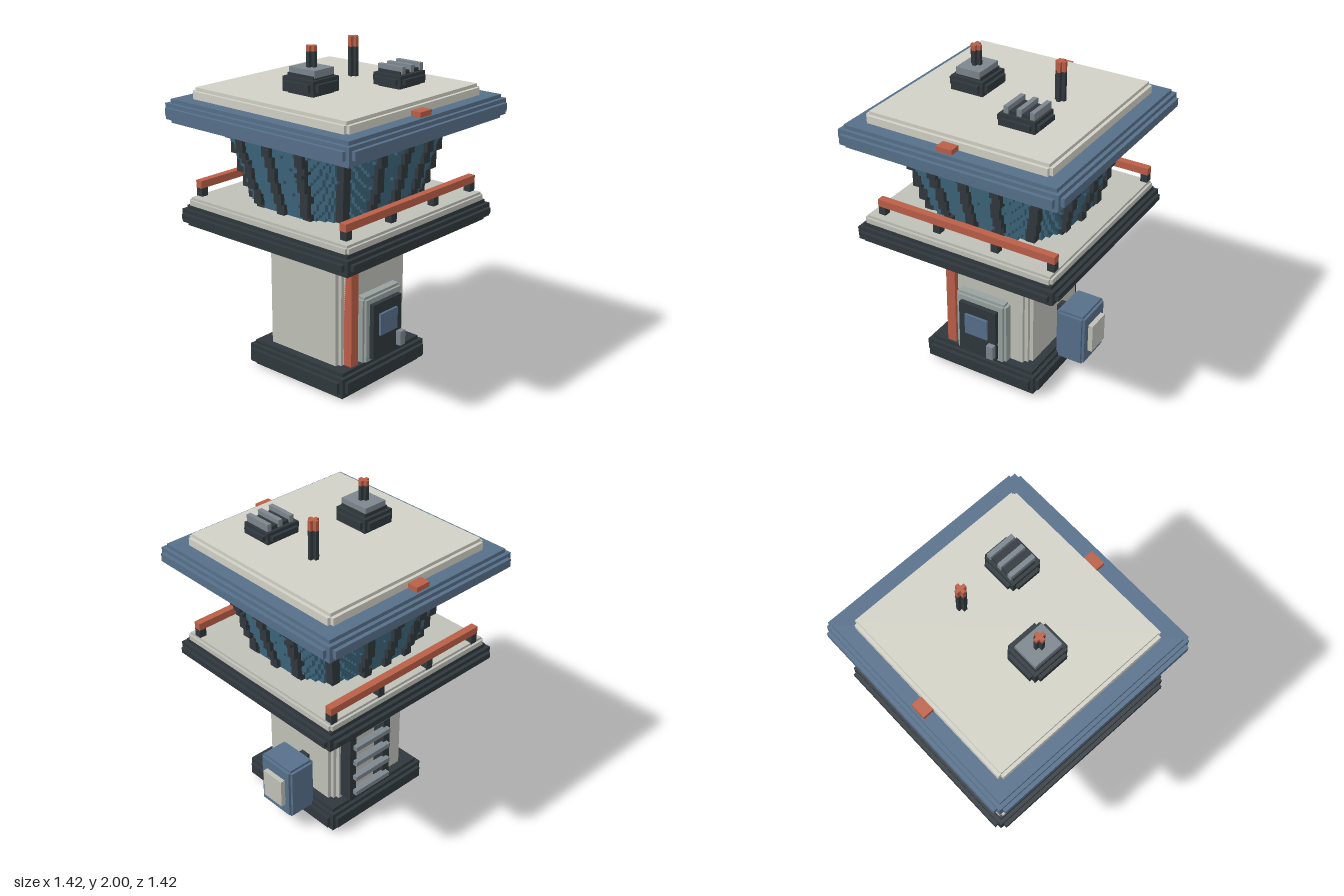
import * as THREE from 'three';
import { mergeGeometries } from 'three/addons/utils/BufferGeometryUtils.js';

const G = 0.0225; // grid step of the blocky surfaces
const mat = (color) => new THREE.MeshStandardMaterial({ color, flatShading: true });
const M = {
  dark: mat(0x30383d), blue: mat(0x56708a), glass: mat(0x3a6378), cream: mat(0xd2d1c6),
  wall: mat(0xbfc1b8), orange: mat(0xbb5f47), grey: mat(0x7d868e), frame: mat(0x98a2a0),
};

// Insets (in grid steps) of the boxes whose union has stepped edges
const STEPS = {
  none: [[0, 0, 0]],
  one: [[0, 1, 1], [1, 0, 1], [1, 1, 0]],
  two: [[0, 2, 2], [2, 0, 2], [2, 2, 0], [1, 1, 1]],
  column: [[0, 0, 2], [1, 0, 1], [2, 0, 0]],
  post: [[0, 0, 1], [1, 0, 0]],
};

function blockGeometry([x0, x1], [y0, y1], [z0, z1], steps = 'none', s = G) {
  return mergeGeometries(STEPS[steps].map(([a, b, c]) =>
    new THREE.BoxGeometry(x1 - x0 - 2 * a * s, y1 - y0 - 2 * b * s, z1 - z0 - 2 * c * s)
      .translate((x0 + x1) / 2, (y0 + y1) / 2, (z0 + z1) / 2)));
}

export function createModel() {
  const model = new THREE.Group();
  model.name = 'controlTower';
  const add = (name, geometry, material, parent = model) => {
    const mesh = new THREE.Mesh(geometry, material);
    mesh.name = name;
    parent.add(mesh);
    return mesh;
  };
  const block = (name, material, x, y, z, steps, s, parent) =>
    add(name, blockGeometry(x, y, z, steps, s), material, parent);
  const group = (name) => {
    const g = new THREE.Group();
    g.name = name;
    model.add(g);
    return g;
  };

  // Base, shaft and gallery
  block('base', M.dark, [-0.395, 0.395], [0, 0.16], [-0.395, 0.395], 'two');
  block('shaft', M.wall, [-0.3, 0.3], [0.15, 0.92], [-0.3, 0.3], 'column');
  block('shaftStripe', M.orange, [-0.255, -0.195], [0.16, 0.92], [0.28, 0.335]);
  block('galleryFloor', M.dark, [-0.663, 0.663], [0.91, 1.035], [-0.663, 0.663], 'two');
  block('galleryDeck', M.wall, [-0.615, 0.615], [1.02, 1.08], [-0.615, 0.615], 'one', 0.015);

  // Door
  const door = group('door');
  block('doorFrame', M.frame, [-0.172, 0.172], [0.15, 0.572], [0.28, 0.365], 'one', 0.016, door);
  block('doorLeaf', M.dark, [-0.127, 0.125], [0.18, 0.525], [0.3, 0.395], 'none', G, door);
  block('doorWindow', M.blue, [-0.08, 0.075], [0.325, 0.46], [0.38, 0.41], 'none', G, door);
  block('doorHandle', M.grey, [0.08, 0.125], [0.21, 0.3], [0.365, 0.43], 'none', G, door);

  // Equipment cabinet on the left wall
  const cabinet = group('cabinet');
  block('cabinetBracket', M.dark, [0.28, 0.37], [0.34, 0.4], [-0.09, -0.03], 'none', G, cabinet);
  block('cabinetBody', M.blue, [0.35, 0.54], [0.1, 0.445], [-0.19, 0.075], 'one', 0.016, cabinet);
  block('cabinetPanel', M.wall, [0.52, 0.57], [0.18, 0.365], [-0.14, 0.015], 'none', G, cabinet);

  // Ladder on the back wall
  const ladder = group('ladder');
  for (const x of [-0.085, 0.19]) {
    block('ladderRail', M.dark, [x, x + 0.05], [0.18, 0.915], [-0.38, -0.29], 'none', G, ladder);
  }
  for (let i = 0; i < 7; i++) {
    const y = 0.24 + i * 0.111;
    block('ladderRung', M.grey, [-0.06, 0.215], [y - 0.015, y + 0.015], [-0.41, -0.365], 'none', G, ladder);
  }

  // Cab: flared layers with a rounded-square stepped outline
  const layers = 20, P = 3, y0 = 1.08;
  const panes = [], bars = [];
  const snap = (v) => Math.round(v / G) * G;
  for (let i = 0; i < layers; i++) {
    const grow = 0.13 * (i + 0.5) / layers;
    const a = 0.445 + grow, b = 0.4 + grow, y = y0 + i * G;
    const rows = Math.round(b / G);
    const side = [];
    for (let r = -rows; r < rows; r++) {
      const mid = Math.abs((r + 0.5) * G) / b;
      const w = snap(a * Math.pow(Math.max(0, 1 - mid ** P), 1 / P));
      if (w > 0) side.push([w, r * G], [w, (r + 1) * G]);
    }
    const outline = [...side, ...side.map(([w, z]) => [-w, z]).reverse()];
    const shape = new THREE.Shape(outline.map(([x, z]) => new THREE.Vector2(x, z)));
    panes.push(new THREE.ExtrudeGeometry(shape, { depth: G, bevelEnabled: false })
      .rotateX(-Math.PI / 2).translate(0, y, 0));

    // Sixteen mullions follow the flare
    for (let k = 0; k < 16; k++) {
      const c = Math.cos(k * Math.PI / 8), s = Math.sin(k * Math.PI / 8);
      const r = Math.pow(Math.abs(c / a) ** P + Math.abs(s / b) ** P, -1 / P);
      bars.push(new THREE.BoxGeometry(0.055, G, 0.055)
        .translate(snap(c * r), y + G / 2, snap(s * r)));
    }
  }
  add('cabGlass', mergeGeometries(panes), M.glass);
  add('cabMullions', mergeGeometries(bars), M.dark);

  // Front and back railings
  for (const z of [0.51, -0.605]) {
    const rail = group(z > 0 ? 'frontRailing' : 'backRailing');
    block('handrail', M.orange, [-0.555, 0.6], [1.13, 1.175], [z, z + 0.045], 'none', G, rail);
    for (const x of [-0.53, -0.155, 0.225, 0.577]) {
      block('railPost', M.dark, [x - 0.0225, x + 0.0225], [1.07, 1.13], [z, z + 0.045], 'none', G, rail);
    }
  }

  // Roof
  block('roofEdge', M.blue, [-0.712, 0.712], [1.53, 1.67], [-0.712, 0.712], 'two');
  block('roofTop', M.cream, [-0.587, 0.587], [1.65, 1.735], [-0.587, 0.587], 'one', 0.02);
  for (const z of [-0.653, 0.573]) {
    block('roofMarker', M.orange, [-0.067, 0.03], [1.66, 1.7], [z, z + 0.08]);
  }

  // Rooftop equipment
  const beacon = group('beacon');
  block('beaconBase', M.dark, [-0.35, -0.1], [1.725, 1.85], [-0.13, 0.14], 'two', 0.02, beacon);
  block('beaconPlate', M.grey, [-0.302, -0.146], [1.84, 1.882], [-0.085, 0.105], 'none', G, beacon);
  const vent = group('vent');
  block('ventBase', M.dark, [0.11, 0.375], [1.725, 1.835], [0.14, 0.375], 'two', 0.02, vent);
  for (const x of [0.172, 0.252, 0.332]) {
    block('ventSlat', M.grey, [x - 0.014, x + 0.014], [1.82, 1.862], [0.17, 0.345], 'none', G, vent);
  }
  const mast = (name, x, z, bottom, tipStart, top) => {
    const g = group(name), xs = [x - 0.031, x + 0.031], zs = [z - 0.031, z + 0.031];
    block('mastPole', M.dark, xs, [bottom, tipStart], zs, 'post', 0.0205, g);
    block('mastTip', M.orange, xs, [tipStart, top], zs, 'post', 0.0205, g);
  };
  mast('beaconMast', -0.226, 0.012, 1.875, 1.97, 2);
  mast('antenna', 0.253, -0.098, 1.73, 1.91, 1.97);

  return model;
}
